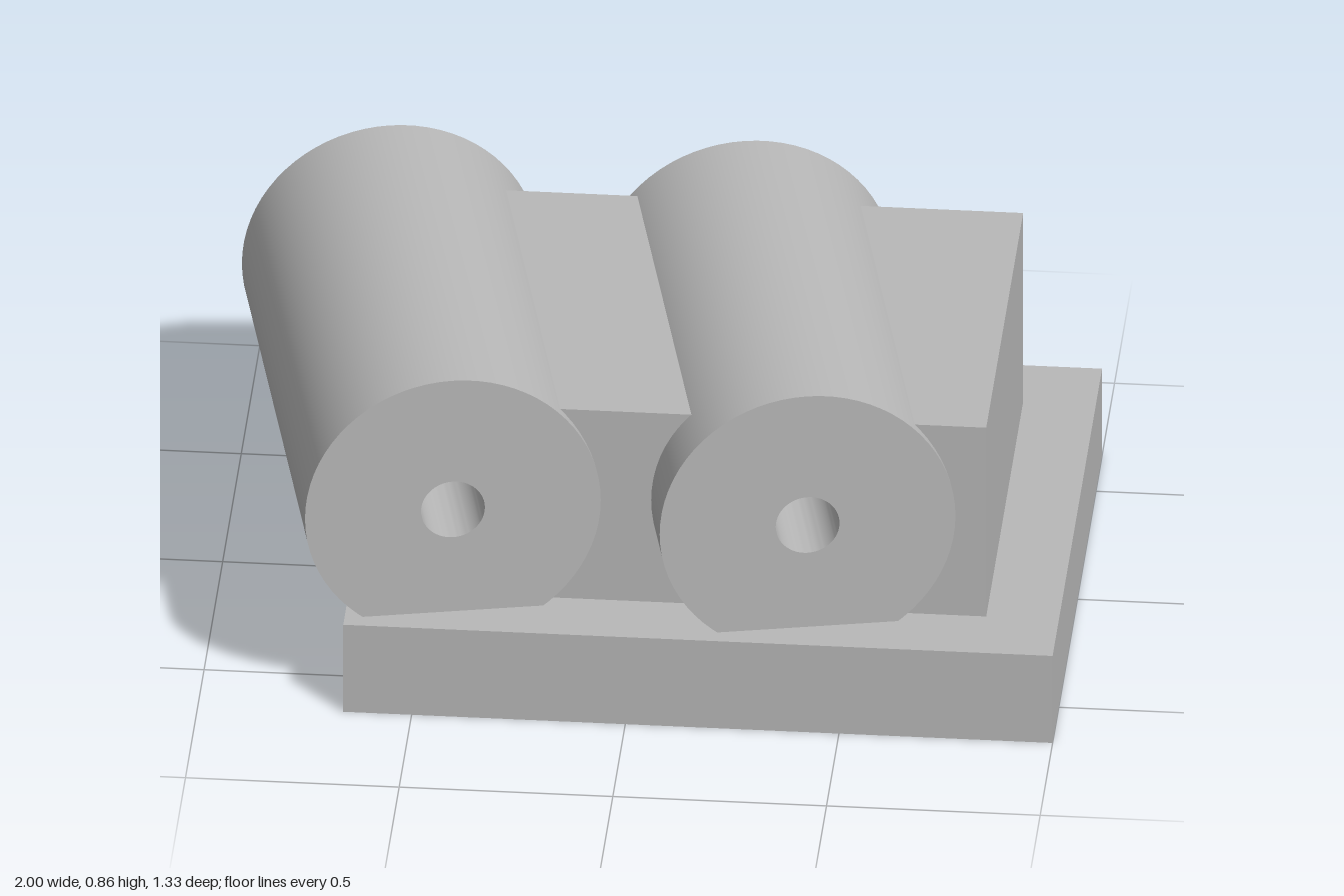
import * as THREE from 'three';
import { toCreasedNormals } from 'three/addons/utils/BufferGeometryUtils.js';

const BASE_TOP = 0.235, BLOCK_TOP = 0.745, BLOCK_HALF_Z = 0.497;
const ROLL_R = 0.3475, HOLE_R = 0.075, ROLL_LEN = 1.187, ROLL_Y = 0.51;
const YAW = 0.211; // rollers are skewed about the vertical
const ROLL_X = [-0.535, 0.295];

export function createModel() {
  const model = new THREE.Group();
  model.name = 'rollerBlock';
  const grey = new THREE.MeshStandardMaterial({ color: 0xb8b8b8 });
  grey.name = 'plain grey';

  const add = (name, geometry) => {
    const mesh = new THREE.Mesh(geometry, grey);
    mesh.name = name;
    model.add(mesh);
    return mesh;
  };

  // Base plate
  add('basePlate', new THREE.BoxGeometry(1.66, BASE_TOP, 1.33)).position.set(0.17, BASE_TOP / 2, 0);

  // Bored rollers lying along z
  const ring = new THREE.Shape().absarc(0, 0, ROLL_R, 0, Math.PI * 2);
  ring.holes.push(new THREE.Path().absarc(0, 0, HOLE_R, 0, Math.PI * 2, true));
  const rollGeometry = toCreasedNormals(
    new THREE.ExtrudeGeometry(ring, { depth: ROLL_LEN, bevelEnabled: false, curveSegments: 36 })
      .translate(0, 0, -ROLL_LEN / 2), 0.5);
  ROLL_X.forEach((x, i) => {
    const roll = add(i ? 'leftRoller' : 'rightRoller', rollGeometry);
    roll.position.set(x, ROLL_Y, 0);
    roll.rotation.y = YAW;
  });

  // Block pieces between the rollers; skewed sides tuck inside them, clear of the bores
  const axisX = (i, z) => ROLL_X[i] + z * Math.tan(YAW);
  const addBlock = (name, xMin, xMax) => {
    const h = BLOCK_HALF_Z;
    const plan = new THREE.Shape([[xMin(-h), -h], [xMax(-h), -h], [xMax(h), h], [xMin(h), h]]
      .map(([x, z]) => new THREE.Vector2(x, z)));
    const geometry = new THREE.ExtrudeGeometry(plan, { depth: BLOCK_TOP - BASE_TOP + 0.01, bevelEnabled: false });
    add(name, geometry.rotateX(Math.PI / 2).translate(0, BLOCK_TOP, 0));
  };
  addBlock('middleBlock', (z) => axisX(0, z) + 0.15, (z) => axisX(1, z) - 0.15);
  addBlock('endBlock', (z) => axisX(1, z) + 0.15, () => 0.83);

  return model;
}
